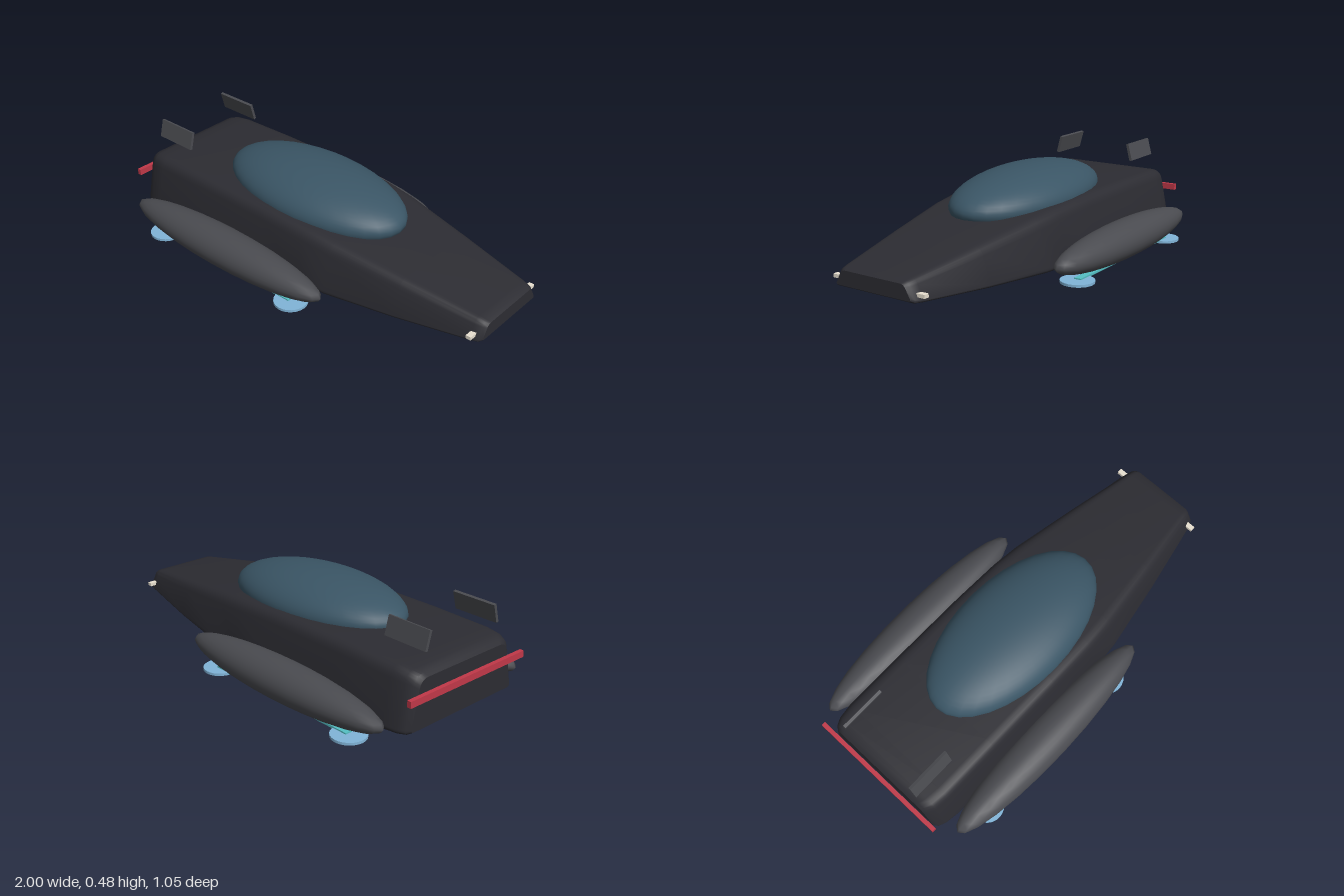
import * as THREE from 'three';
import { toCreasedNormals } from 'three/addons/utils/BufferGeometryUtils.js';

const mat = (color) => new THREE.MeshStandardMaterial({ color });
const dark = mat(0x2c2c32), grey = mat(0x4a4b50), glass = mat(0x3a5565), red = mat(0xc03848);
const cream = mat(0xe8e0d0), blue = mat(0x80b4d8), teal = mat(0x55c0c4);

function add(group, name, geometry, material, x = 0, y = 0, z = 0) {
  const mesh = new THREE.Mesh(geometry, material);
  mesh.name = name;
  mesh.position.set(x, y, z);
  group.add(mesh);
  return mesh;
}

// Rounded trapezoid ring in the zy plane: bottom/top half-widths, bottom/top heights, corner radii
function section(bottom, top, y0, y1, rBottom, rTop) {
  const corners = [[bottom, y0, rBottom], [-bottom, y0, rBottom], [-top, y1, rTop], [top, y1, rTop]]
    .map(([z, y, r]) => ({ p: new THREE.Vector2(z, y), r }));
  const ring = [];
  corners.forEach(({ p, r }, i) => {
    const toward = (q) => q.clone().sub(p).setLength(r).add(p);
    const curve = new THREE.QuadraticBezierCurve(
      toward(corners[(i + 3) % 4].p), p, toward(corners[(i + 1) % 4].p));
    ring.push(...curve.getPoints(5));
  });
  return ring;
}

// Hull skinned over cross-sections from tail to nose
function hullGeometry() {
  const stations = [
    // x, bottom, top, y0, y1, rBottom, rTop
    [-0.97, 0.315, 0.265, 0.068, 0.29, 0.02, 0.04],
    [-0.955, 0.335, 0.282, 0.06, 0.306, 0.022, 0.045],
    [-0.92, 0.35, 0.298, 0.056, 0.317, 0.025, 0.05],
    [-0.85, 0.36, 0.306, 0.054, 0.323, 0.025, 0.05],
    [-0.55, 0.362, 0.308, 0.053, 0.328, 0.025, 0.05],
    [-0.15, 0.362, 0.308, 0.053, 0.326, 0.025, 0.05],
    [0.1, 0.36, 0.304, 0.055, 0.315, 0.025, 0.05],
    [0.25, 0.35, 0.292, 0.06, 0.3, 0.025, 0.05],
    [0.6, 0.292, 0.24, 0.078, 0.25, 0.022, 0.04],
    [0.95, 0.224, 0.182, 0.103, 0.198, 0.018, 0.025],
    [0.985, 0.214, 0.174, 0.107, 0.191, 0.016, 0.022],
    [1.0, 0.2, 0.162, 0.116, 0.182, 0.014, 0.018],
  ];
  const rings = stations.map(([x, ...s]) => section(...s).map((p) => [x, p.y, p.x]));
  const n = rings[0].length, pos = [];
  const tri = (a, b, c) => pos.push(...a, ...b, ...c);
  for (let i = 0; i < rings.length - 1; i++) {
    for (let j = 0; j < n; j++) {
      const k = (j + 1) % n;
      tri(rings[i][j], rings[i][k], rings[i + 1][k]);
      tri(rings[i][j], rings[i + 1][k], rings[i + 1][j]);
    }
  }
  const tail = [-0.97, 0.18, 0], nose = [1, 0.15, 0];
  for (let j = 0; j < n; j++) {
    const k = (j + 1) % n;
    tri(tail, rings[0][k], rings[0][j]);
    tri(nose, rings.at(-1)[j], rings.at(-1)[k]);
  }
  const geometry = new THREE.BufferGeometry();
  geometry.setAttribute('position', new THREE.Float32BufferAttribute(pos, 3));
  return toCreasedNormals(geometry, 0.6);
}

export function createModel() {
  const model = new THREE.Group();
  model.name = 'hoverCar';
  add(model, 'hull', hullGeometry(), dark);

  // Glass dome, tipped slightly towards the nose
  const dome = new THREE.SphereGeometry(1, 32, 16, 0, Math.PI * 2, 0, Math.PI * 0.55);
  dome.scale(0.505, 0.137, 0.265);
  add(model, 'canopy', dome, glass, -0.097, 0.318, 0).rotation.z = -0.025;

  add(model, 'tailLightBar', new THREE.BoxGeometry(0.02, 0.03, 0.71), red, -0.99, 0.22, 0);

  // Paired parts
  const podGeometry = new THREE.SphereGeometry(1, 24, 16).scale(0.61, 0.09, 0.105);
  const discGeometry = new THREE.CylinderGeometry(0.08, 0.08, 0.012, 24);
  for (const side of [1, -1]) {
    const label = side > 0 ? 'left' : 'right';
    add(model, label + 'Pod', podGeometry, grey, -0.31, 0.104, side * 0.42);
    for (const [end, x] of [['Front', 0.12], ['Rear', -0.73]]) {
      add(model, label + end + 'HoverDisc', discGeometry, blue, x, 0.006, side * 0.42);
    }
    add(model, label + 'GlowStrip', new THREE.BoxGeometry(0.85, 0.01, 0.035), teal,
      -0.305, 0.013, side * 0.42);
    const fin = add(model, label + 'Fin', new THREE.BoxGeometry(0.22, 0.088, 0.014), grey,
      -0.84, 0.431, side * 0.21);
    fin.rotation.x = -side * 0.26;
    add(model, label + 'Headlight', new THREE.BoxGeometry(0.025, 0.016, 0.045), cream,
      0.957, 0.137, side * 0.22);
  }
  return model;
}
